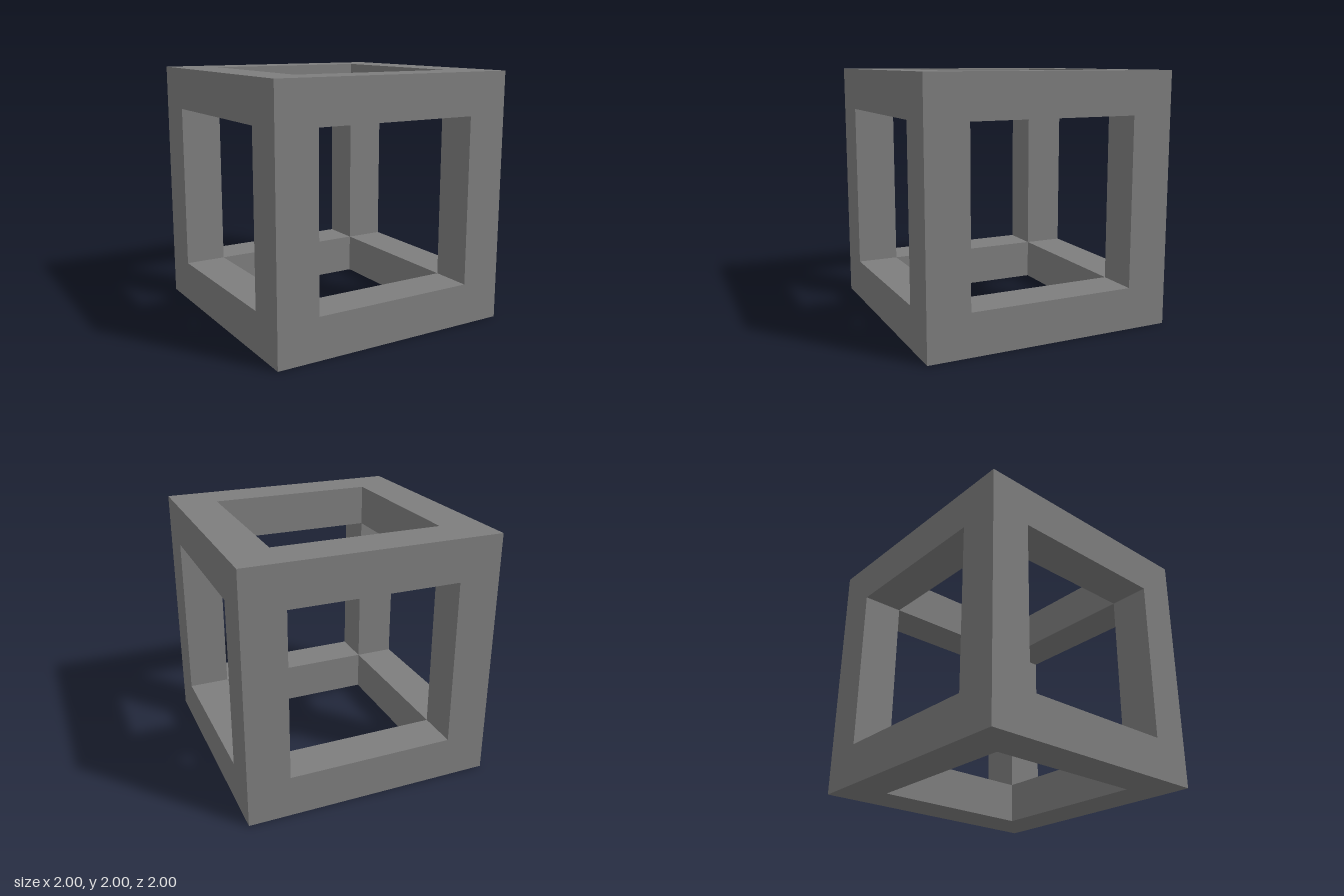
import * as THREE from 'three';
import { mergeGeometries } from 'three/addons/utils/BufferGeometryUtils.js';

const HALF = 1;          // half the cube's edge
const BAR = 1 / 3;       // thickness of the square bars
const INNER = HALF - BAR; // half the window's edge

function square(path, h) {
  return path.moveTo(-h, -h).lineTo(h, -h).lineTo(h, h).lineTo(-h, h).closePath();
}

// One side facing +z: a flat square border plus the four walls lining its window
function sideGeometry() {
  const border = square(new THREE.Shape(), HALF);
  border.holes.push(square(new THREE.Path(), INNER));
  const parts = [new THREE.ShapeGeometry(border).translate(0, 0, HALF)];
  for (let i = 0; i < 4; i++) {
    parts.push(new THREE.PlaneGeometry(2 * INNER, BAR)
      .rotateX(-Math.PI / 2)
      .translate(0, -INNER, HALF - BAR / 2)
      .rotateZ(i * Math.PI / 2));
  }
  return mergeGeometries(parts);
}

export function createModel() {
  const model = new THREE.Group();
  model.name = 'openCubeFrame';
  const material = new THREE.MeshStandardMaterial({ color: 0x7d7d7d, flatShading: true });
  const geometry = sideGeometry();

  // The six sides together close the surface of all twelve bars
  const q = Math.PI / 2;
  const sides = {
    frontSide: [0, 0], leftSide: [0, q], backSide: [0, 2 * q],
    rightSide: [0, -q], topSide: [-q, 0], bottomSide: [q, 0],
  };
  for (const [name, [rx, ry]] of Object.entries(sides)) {
    const side = new THREE.Mesh(geometry, material);
    side.name = name;
    side.rotation.set(rx, ry, 0);
    side.position.y = HALF;
    model.add(side);
  }
  return model;
}
